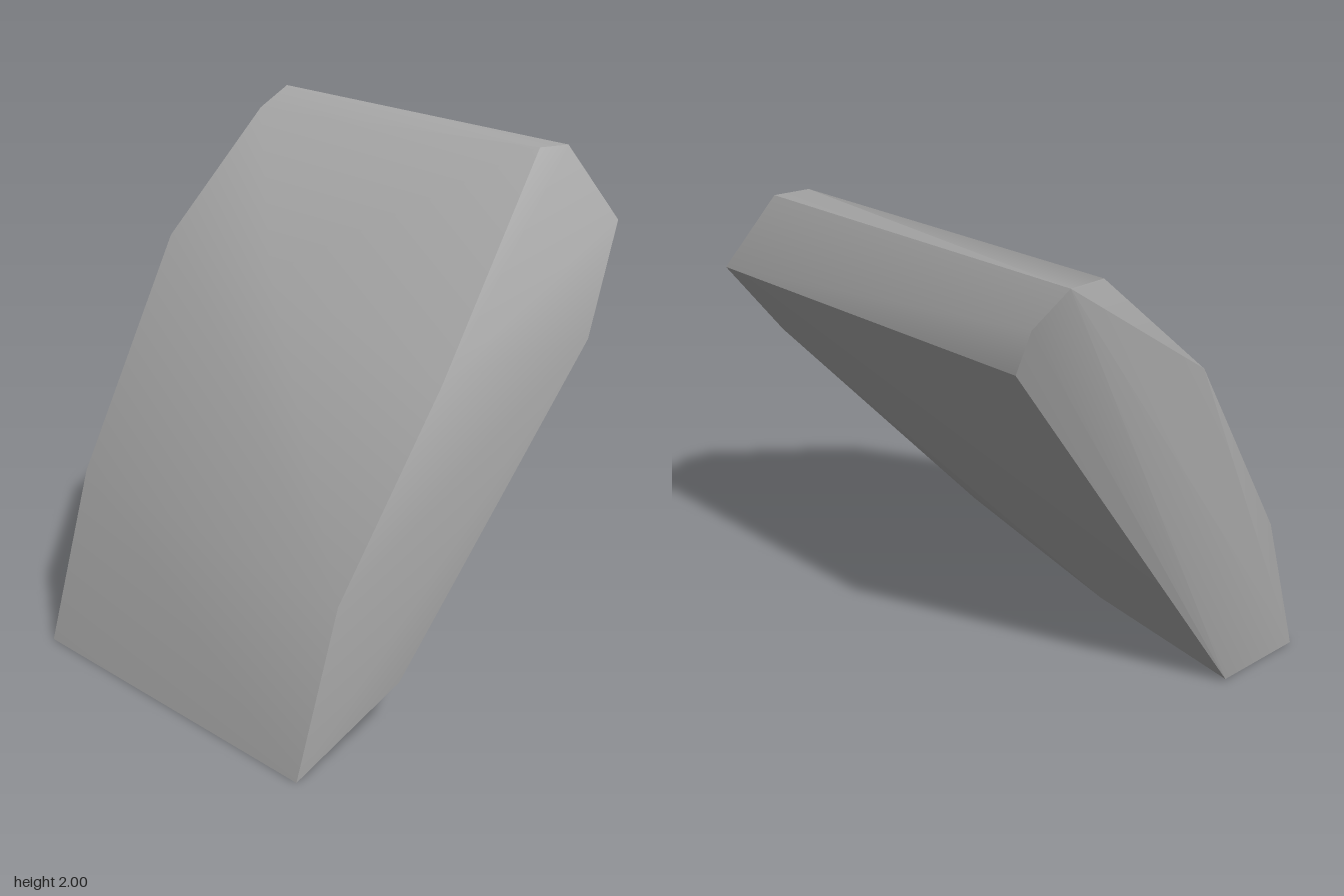
import * as THREE from 'three';
import { ConvexGeometry } from 'three/addons/geometries/ConvexGeometry.js';
import { toCreasedNormals } from 'three/addons/utils/BufferGeometryUtils.js';

export function createModel() {
  const group = new THREE.Group();
  group.name = 'leaningRock';
  const stone = new THREE.MeshStandardMaterial({ color: 0xa6a6a6 });
  stone.name = 'grey stone';

  // Corners of the leaning slab
  const corners = [
    // front outline, from the foot up the left slope and down the underside
    [-0.785, 0, 0.7], [-0.6, 0.57, 0.7], [-0.13, 1.22, 0.7], [0.53, 1.91, 0.53],
    [0.65, 1.91, 0.56], [0.79, 1.64, 0.69], [0.52, 1.27, 0.79], [-0.32, 0.2, 0.71],
    // bulge of the upper slope and cut of the foot
    [-0.13, 1.44, -0.16], [-0.41, 0.015, 0],
    // back outline, same order
    [-0.79, 0, -0.7], [-0.6, 0.65, -0.7], [-0.13, 1.49, -0.74], [0.31, 1.94, -0.71],
    [0.52, 2, -0.79], [0.6, 1.86, -0.71], [0.61, 1.69, -0.65], [-0.41, 0.015, -0.7],
  ].map((p) => new THREE.Vector3(...p));

  // Smooth over gentle bends, sharp at the broken edges
  const slab = new THREE.Mesh(toCreasedNormals(new ConvexGeometry(corners), 0.55), stone);
  slab.name = 'rockSlab';
  group.add(slab);
  return group;
}
